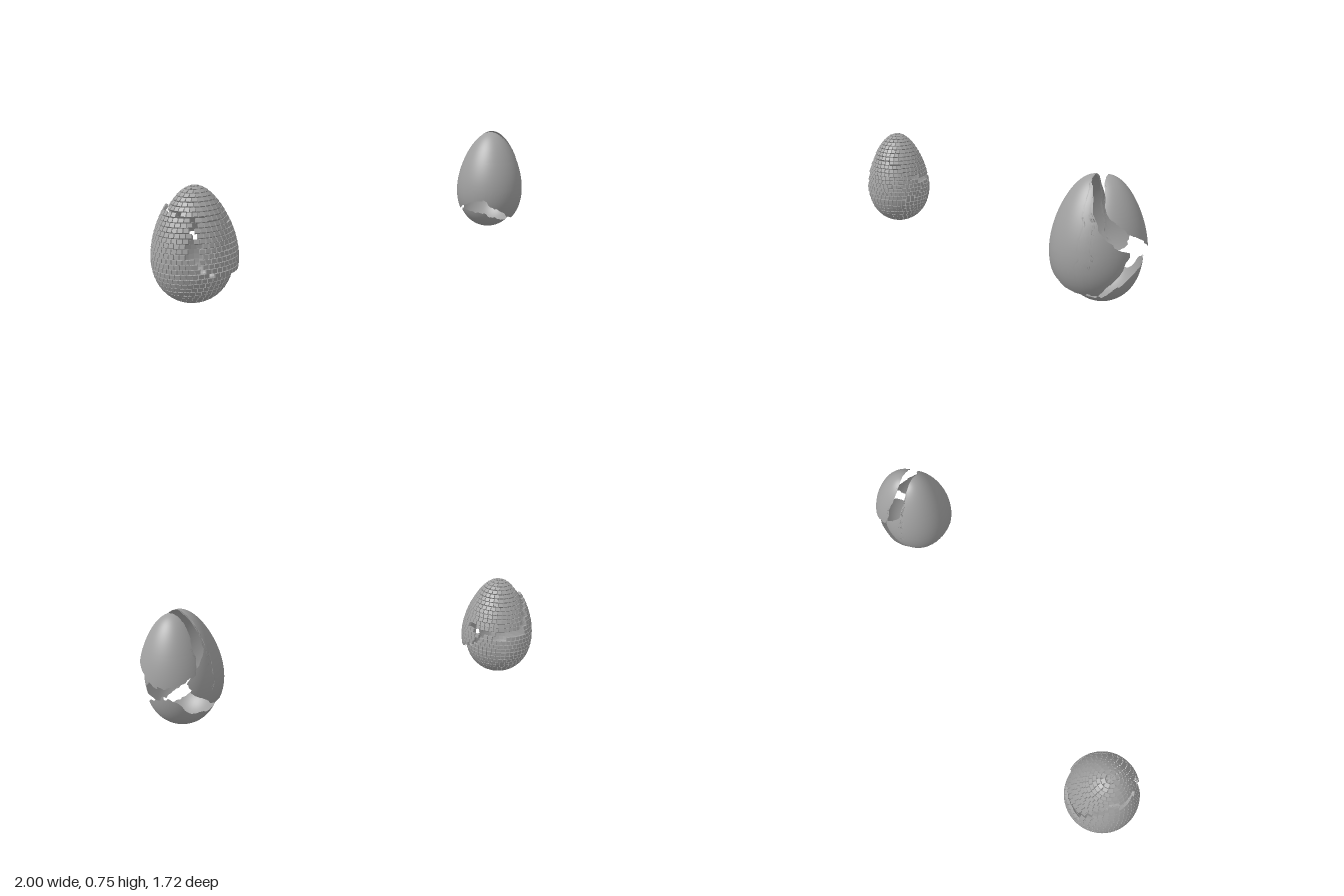
import * as THREE from 'three';
import { mergeGeometries } from 'three/addons/utils/BufferGeometryUtils.js';

const grey = new THREE.MeshStandardMaterial({ color: 0xa0a0a0, side: THREE.DoubleSide });

// Egg outline: t runs from 0 (bottom) to PI (tip)
const eggY = (t, H) => (H / 2) * (1 - Math.cos(t));
const eggR = (t, R) => (R / 1.025) * Math.sin(t) * (1 + 0.22 * Math.cos(t));
const angleAt = (y, H) => Math.acos(THREE.MathUtils.clamp(1 - (2 * y) / H, -1, 1));

// Point on an egg; azimuth a = 0 faces +z, a = PI/2 faces +x
const eggPoint = (a, t, R, H) =>
  new THREE.Vector3(Math.sin(a) * eggR(t, R), eggY(t, H), Math.cos(a) * eggR(t, R));

// Piecewise linear curve through [azimuth, height] pairs
function curve(points) {
  return (a) => {
    if (a <= points[0][0]) return points[0][1];
    for (let i = 1; i < points.length; i++) {
      const [a0, y0] = points[i - 1], [a1, y1] = points[i];
      if (a <= a1) return y0 + ((y1 - y0) * (a - a0)) / (a1 - a0);
    }
    return points[points.length - 1][1];
  };
}

// Small repeatable zigzag for cracked edges
function jag(a) {
  const n = (i) => { const s = Math.sin(i * 127.1) * 43758.5453; return s - Math.floor(s) - 0.5; };
  const u = a / 0.13, i = Math.floor(u), f = u - i;
  return 0.022 * THREE.MathUtils.lerp(n(i), n(i + 1), THREE.MathUtils.smoothstep(f, 0.3, 0.7));
}

// Curved shell fragment between two edge curves
function shellPiece(name, from, to, lo, hi, R, H) {
  const cols = 160, rows = 60, pos = [], index = [];
  for (let i = 0; i <= cols; i++) {
    const a = from + ((to - from) * i) / cols;
    const t0 = angleAt(lo(a), H), t1 = Math.max(t0, angleAt(hi(a), H));
    for (let j = 0; j <= rows; j++) {
      const t = t0 + ((t1 - t0) * j) / rows;
      // Turning each height a little makes the upright edges ragged
      pos.push(...eggPoint(a + 7 * jag(t), t, R, H));
      if (i < cols && j < rows) {
        const p = i * (rows + 1) + j, q = p + rows + 1;
        index.push(p, q, p + 1, q, q + 1, p + 1);
      }
    }
  }
  const g = new THREE.BufferGeometry();
  g.setAttribute('position', new THREE.Float32BufferAttribute(pos, 3));
  g.setIndex(index);
  g.computeVertexNormals();
  const mesh = new THREE.Mesh(g, grey);
  mesh.name = name;
  return mesh;
}

function smoothEgg() {
  const R = 0.207, H = 0.615, egg = new THREE.Group();
  egg.name = 'crackedSmoothEgg';
  const rough = (f) => (a) => f(a) >= H ? H : Math.max(0, f(a) + jag(a));

  // Large front fragment, open at the back and below
  const frontLow = curve([[-2.64, 0.27], [-2.3, 0.2], [-2, 0.15], [-1.75, 0.12], [-1.3, 0.12],
    [-0.9, 0.16], [-0.5, 0.2], [-0.2, 0.21], [0.2, 0.15], [0.7, 0.09], [1.74, 0.07],
    [2.1, 0.15], [2.35, 0.2], [2.45, 0.25]]);
  const frontHigh = curve([[-2.64, 0.29], [-1.98, 0.45], [-1.88, H], [1.2, H], [1.35, 0.585],
    [1.5, 0.46], [1.6, 0.395], [1.9, 0.335], [2.45, 0.27]]);
  const front = shellPiece('frontShell', -2.64, 2.45, rough(frontLow), rough(frontHigh), R, H);
  front.position.set(0.79, 0.135, -0.605);

  // Upper back fragment, slid backwards
  const backLow = curve([[1.3, 0.605], [1.45, 0.49], [1.85, 0.4], [2.5, 0.34], [Math.PI, 0.28],
    [3.8, 0.31], [4.1, 0.34], [4.18, 0.45], [4.35, 0.57], [4.5, 0.61]]);
  const back = shellPiece('backShell', 1.3, 4.5, rough(backLow), () => H, R * 0.97, H);
  back.position.set(0.8, 0.135, -0.66);

  // Bottom cup, dropped and slid backwards
  const cupHigh = curve([[-Math.PI, 0.23], [-2.8, 0.2], [-2.5, 0.13], [-1.57, 0.1], [-1.1, 0.12],
    [-0.3, 0.12], [0.1, 0.09], [0.5, 0.06], [1.57, 0.06], [2.2, 0.14], [2.7, 0.2], [Math.PI, 0.23]]);
  const cup = shellPiece('bottomShell', -Math.PI, Math.PI, () => 0, rough(cupHigh), R * 0.93, H);
  cup.position.set(0.785, 0.13, -0.65);

  egg.add(front, back, cup);
  return egg;
}

// Scale plate with a slightly smaller outer face
function scalePlate(w, h, thick) {
  const g = new THREE.BoxGeometry(w, h, thick), p = g.attributes.position;
  for (let i = 0; i < p.count; i++) {
    if (p.getZ(i) > 0) p.setXY(i, p.getX(i) * 0.84, p.getY(i) * 0.8);
  }
  g.computeVertexNormals();
  return g;
}

function scaledEgg() {
  const R = 0.208, H = 0.607, rows = 31, thick = 0.014;
  const egg = new THREE.Group();
  egg.name = 'crackedScaledEgg';
  egg.position.set(-0.79, 0.002, 0.655);

  // Cracks dividing the plates into body, cap and side panel
  const capEdge = curve([[-Math.PI, 0.3], [-2.3, 0.31], [-1.9, 0.44], [-1.5, 0.52], [-0.6, 0.5],
    [0.2, 0.47], [1.0, 0.455], [1.8, 0.42], [2.3, 0.34], [Math.PI, 0.3]]);
  const panelEdge = curve([[0.3, 0.31], [0.5, 0.2], [0.9, 0.165], [1.9, 0.17], [2.4, 0.22], [2.7, 0.3]]);
  const pieces = {
    body: { offset: [0, 0, 0], plates: [] },
    cap: { offset: [0.024, 0.003, 0], plates: [] },
    sidePanel: { offset: [0.027, 0, 0], plates: [] },
  };
  const pick = (a, y) => {
    if (y > capEdge(a)) return 'cap';
    return a > 0.3 && a < 2.7 && y > panelEdge(a) ? 'sidePanel' : 'body';
  };

  // Evenly spaced rows along the outline
  const steps = 400, length = [0];
  for (let i = 1; i <= steps; i++) {
    const p = eggPoint(0, (Math.PI * (i - 1)) / steps, R, H);
    length.push(length[i - 1] + p.distanceTo(eggPoint(0, (Math.PI * i) / steps, R, H)));
  }
  const total = length[steps], high = total / rows;

  for (let r = 0; r < rows; r++) {
    const k = length.findIndex((l) => l >= (total * (r + 0.5)) / rows);
    const t = (Math.PI * k) / steps, radius = eggR(t, R);
    const count = Math.max(6, Math.round((2 * Math.PI * radius) / 0.029));
    for (let c = 0; c < count; c++) {
      let a = ((c + (r % 2) / 2) / count) * 2 * Math.PI;
      if (a > Math.PI) a -= 2 * Math.PI;
      const p = eggPoint(a, t, R, H);
      // Small see-through chips along the cracks
      if (a > 0.2 && a < 0.42 && p.y > 0.28 && p.y < 0.36) continue;
      if (Math.abs(a) > 2.2 && Math.abs(p.y - capEdge(a)) < 0.015) continue;
      const across = new THREE.Vector3(Math.cos(a), 0, -Math.sin(a));
      const up = eggPoint(a, t + 0.01, R, H).sub(eggPoint(a, t - 0.01, R, H)).normalize();
      const out = across.clone().cross(up);
      // Slight tilt lets each row overlap the next like scales
      up.addScaledVector(out, -0.08).normalize();
      out.crossVectors(across, up);
      p.addScaledVector(out, -thick / 2);
      const plate = scalePlate((2 * Math.PI * radius) / count, high * 1.04, thick);
      plate.applyMatrix4(new THREE.Matrix4().makeBasis(across, up, out).setPosition(p));
      pieces[pick(a, eggY(t, H))].plates.push(plate);
    }
  }
  for (const [name, { offset, plates }] of Object.entries(pieces)) {
    const mesh = new THREE.Mesh(mergeGeometries(plates), grey);
    mesh.name = name;
    mesh.position.set(...offset);
    egg.add(mesh);
  }
  return egg;
}

export function createModel() {
  const model = new THREE.Group();
  model.name = 'twoCrackedEggs';
  model.add(scaledEgg(), smoothEgg());
  return model;
}
